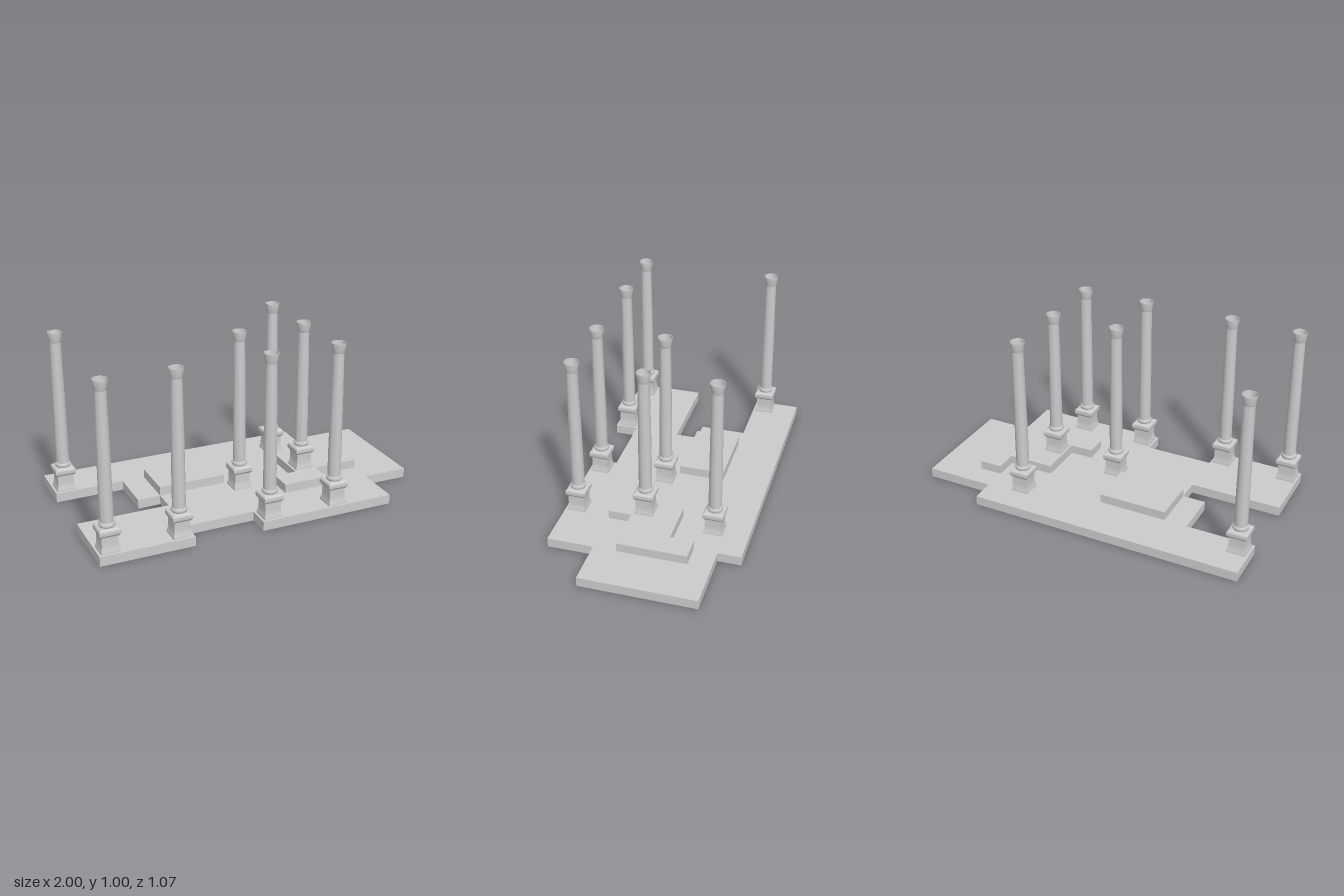
import * as THREE from 'three';
import { toCreasedNormals } from 'three/addons/utils/BufferGeometryUtils.js';

const U = 1 / 15; // plan module
const FLOOR = 0.055, STEP = 0.107, TOP = 1;
const material = new THREE.MeshStandardMaterial({ color: 0xcccccc });

function add(parent, name, geometry) {
  const mesh = new THREE.Mesh(geometry, material);
  mesh.name = name;
  parent.add(mesh);
  return mesh;
}

// Flat slab from a plan outline of [x, z] corners in modules
function slab(parent, name, plan, bottom, top) {
  const shape = new THREE.Shape(plan.map(([x, z]) => new THREE.Vector2(x * U, -z * U)));
  const geometry = new THREE.ExtrudeGeometry(shape, { depth: top - bottom, bevelEnabled: false });
  geometry.rotateX(-Math.PI / 2).translate(0, bottom, 0);
  add(parent, name, geometry);
}

// Turned profile of [half width, y]; four sides give a square section
function turned(profile, sides, crease) {
  const square = sides === 4;
  const k = square ? Math.SQRT2 : 1;
  const points = profile.map(([r, y]) => new THREE.Vector2(r * k, y));
  const geometry = new THREE.LatheGeometry(points, sides, square ? Math.PI / 4 : 0);
  return toCreasedNormals(geometry, crease);
}

function createColumn(x, z, base) {
  const column = new THREE.Group();
  column.name = 'column';
  column.position.set(x * U, base, z * U);
  const h = TOP - base;

  // Square pedestal with a flared foot
  add(column, 'pedestal', turned([
    [0, 0], [0.054, 0], [0.053, 0.01], [0.049, 0.025], [0.047, 0.037], [0.046, 0.05], [0.046, 0.096], [0, 0.096],
  ], 4, 0.1));

  // Square moulding on the pedestal
  add(column, 'squareMoulding', turned([
    [0, 0.094], [0.049, 0.094], [0.052, 0.1], [0.057, 0.106], [0.058, 0.114],
    [0.058, 0.127], [0.055, 0.134], [0.046, 0.14], [0, 0.14],
  ], 4, 0.1));

  // Round ring under the shaft
  add(column, 'baseRing', turned([
    [0, 0.14], [0.041, 0.14], [0.044, 0.145], [0.045, 0.152], [0.044, 0.159], [0.039, 0.165], [0, 0.165],
  ], 20, 0.6));

  // Tapering shaft
  add(column, 'shaft', turned([
    [0.037, 0.163], [0.037, 0.3], [0.0355, 0.55], [0.032, h - 0.054], [0, h - 0.054],
  ], 20, 0.6));

  // Flared, hollow capital
  add(column, 'capital', turned([
    [0.032, h - 0.056], [0.034, h - 0.052], [0.037, h - 0.03], [0.041, h - 0.008], [0.041, h],
    [0.039, h], [0.036, h - 0.025], [0.032, h - 0.052], [0, h - 0.052],
  ], 20, 0.4));
  return column;
}

export function createModel() {
  const model = new THREE.Group();
  model.name = 'colonnadeRuin';

  // Stepped floor and raised platforms
  slab(model, 'floor', [
    [-15, -8], [9, -8], [9, -6], [15, -6], [15, 4], [11, 4], [11, 8], [-1, 8], [-1, 6],
    [-7, 6], [-7, 8], [-15, 8], [-15, 2], [-7, 2], [-7, 0], [-9, 0], [-9, -4], [-15, -4],
  ], 0, FLOOR);
  slab(model, 'smallPlatform', [[-7, -4], [-1, -4], [-1, 0], [-7, 0]], FLOOR, STEP);
  slab(model, 'steppedPlatform', [
    [9, -4], [11, -4], [11, 2], [7, 2], [7, 4], [3, 4], [3, 2], [5, 2], [5, -2], [9, -2],
  ], FLOOR, STEP);

  // Columns all reach one height; one stands on the raised platform
  const places = [[-14, -5], [6, -5], [0, 1], [-14, 7], [-8, 7], [0, 7], [6, 7]];
  for (const [x, z] of places) model.add(createColumn(x, z, FLOOR));
  model.add(createColumn(6, 1, STEP));
  return model;
}
